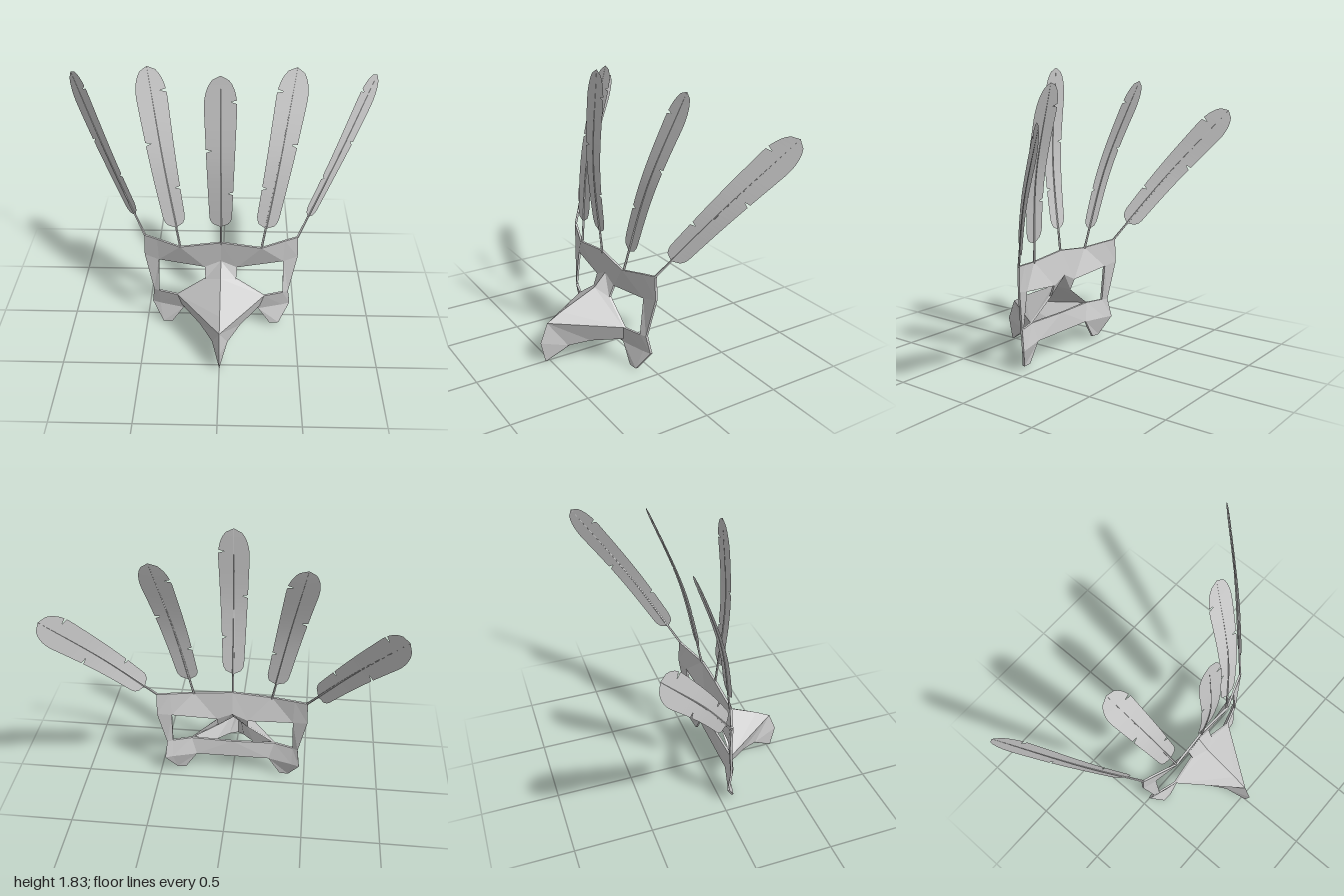
import * as THREE from 'three';

const material = new THREE.MeshStandardMaterial({ color: 0xcccccc, flatShading: true, side: THREE.DoubleSide });

function makeMesh(name, geometry) {
  const mesh = new THREE.Mesh(geometry, material);
  mesh.name = name;
  return mesh;
}

// Mirrors half a set of facets across x = 0 and gives them thickness along z
function mirroredShell(points, faces, depth) {
  const tris = [];
  for (const face of faces) {
    const p = face.split(' ').map((k) => points[k]);
    for (let i = 1; i < p.length - 1; i++) {
      const tri = [p[0], p[i], p[i + 1]];
      tris.push(tri, tri.map(([x, y, z]) => [x === 0 ? 0 : -x, y, z]).reverse());
    }
  }
  const edgeKey = (a, b) => a.join() + '|' + b.join();
  const edges = new Set();
  for (const t of tris) t.forEach((a, i) => edges.add(edgeKey(a, t[(i + 1) % 3])));

  const back = ([x, y, z]) => [x, y, z - depth];
  const out = [];
  for (const t of tris) {
    out.push(...t, ...t.map(back).reverse());
    // rim wall wherever an edge has no neighbour
    t.forEach((a, i) => {
      const b = t[(i + 1) % 3];
      if (!edges.has(edgeKey(b, a))) out.push(a, back(a), back(b), a, back(b), b);
    });
  }
  const geometry = new THREE.BufferGeometry();
  geometry.setAttribute('position', new THREE.Float32BufferAttribute(out.flat(), 3));
  geometry.computeVertexNormals();
  return geometry;
}

// Half width of a feather blade, s runs from its base to its tip
function bladeWidth(s) {
  const base = s < 0.08 ? Math.sqrt(1 - (1 - s / 0.08) ** 2) : 1;
  const tip = s > 0.82 ? Math.sqrt(Math.max(0, 1 - ((s - 0.82) / 0.18) ** 2)) : 1;
  return (0.067 + 0.034 * Math.min(s, 0.8)) * base * tip;
}

// Small cuts in the blade: position along it and side
const notches = [[0.26, -1], [0.55, 1], [0.85, -1]];

function feather(name, points, reference, bladeStart) {
  const curve = new THREE.CatmullRomCurve3(points.map((p) => new THREE.Vector3(...p)));
  const ref = new THREE.Vector3(...reference).normalize();
  const group = new THREE.Group();
  group.name = name;

  // blade: stations of left edge, spine and right edge
  const stations = [];
  for (let i = 0; i <= 40; i++) {
    const s = i / 40;
    if (!notches.some(([n]) => Math.abs(n - s) < 0.013)) stations.push({ s, cut: 0 });
  }
  for (const [n, side] of notches) {
    stations.push({ s: n - 0.012, cut: 0 }, { s: n, cut: side }, { s: n + 0.008, cut: 0 });
  }
  stations.sort((a, b) => a.s - b.s);

  const positions = [];
  const index = [];
  stations.forEach(({ s, cut }, i) => {
    const u = bladeStart + (1 - bladeStart) * s;
    const centre = curve.getPointAt(u);
    const tangent = curve.getTangentAt(u);
    const across = ref.clone().addScaledVector(tangent, -ref.dot(tangent)).normalize();
    for (const side of [-1, 0, 1]) {
      const width = bladeWidth(s) * (cut !== 0 && cut === side ? 0.6 : 1);
      positions.push(...centre.clone().addScaledVector(across, side * width).toArray());
    }
    if (i > 0) {
      for (const k of [0, 1]) {
        const a = (i - 1) * 3 + k;
        index.push(a, a + 1, a + 4, a, a + 4, a + 3);
      }
    }
  });
  const blade = new THREE.BufferGeometry();
  blade.setAttribute('position', new THREE.Float32BufferAttribute(positions, 3));
  blade.setIndex(index);
  blade.computeVertexNormals();
  group.add(makeMesh('featherBlade', blade));

  // quill: a thin tube tapering towards the tip
  const rings = 24, sides = 5;
  const quill = new THREE.TubeGeometry(curve, rings, 0.008, sides, false);
  const pos = quill.attributes.position;
  const v = new THREE.Vector3();
  for (let i = 0; i <= rings; i++) {
    const centre = curve.getPointAt(i / rings);
    for (let j = 0; j <= sides; j++) {
      const k = i * (sides + 1) + j;
      v.fromBufferAttribute(pos, k).sub(centre).multiplyScalar(1 - 0.95 * i / rings).add(centre);
      pos.setXYZ(k, v.x, v.y, v.z);
    }
  }
  quill.computeVertexNormals();
  group.add(makeMesh('featherQuill', quill));
  return group;
}

export function createModel() {
  const model = new THREE.Group();
  model.name = 'featheredBirdMask';

  // Brow, eye surrounds, cheek bar and lower tabs (left half)
  const frame = {
    a0: [0, 0.685, 0.11], a1: [0.26, 0.655, 0.12], a2: [0.41, 0.675, 0.065], a3: [0.495, 0.685, 0.035],
    b0: [0, 0.525, 0.085], b1: [0.105, 0.475, 0.085], b2: [0.405, 0.508, 0.055], b3: [0.5, 0.53, 0.03],
    c0: [0, 0.268, 0.11], c1: [0.285, 0.268, 0.12], c2: [0.41, 0.268, 0.08], c3: [0.447, 0.268, 0.06],
    d0: [0, 0.145, 0.1], d1: [0.25, 0.145, 0.1], d2: [0.41, 0.145, 0.055], d3: [0.462, 0.145, 0.035],
    e1: [0.33, 0.02, 0.1], e2: [0.39, 0.02, 0.095],
  };
  const frameFaces = [
    'a0 b0 b1 a1', 'a1 b1 b2 a2', 'a2 b2 b3 a3', // brow
    'b2 c2 c3 b3', // outer eye post
    'c0 d0 d1 c1', 'c1 d1 d2 c2', 'c2 d2 d3 c3', // cheek bar
    'd1 e1 e2 d2', 'd2 e2 d3', // tab
  ];
  model.add(makeMesh('maskFrame', mirroredShell(frame, frameFaces, 0.015)));

  // Hollow beak with its bridge between the eyes (left half)
  const beak = {
    n0: frame.b0, n1: frame.b1, n2: [0.1, 0.4, 0.115],
    r1: [0, 0.44, 0.165], r2: [0, 0.33, 0.41], r3: [0, 0.275, 0.51], r4: [0, 0.145, 0.56], r5: [0, 0.008, 0.53],
    s1: frame.c1, s2: [0.26, 0.172, 0.105], s3: [0.13, 0.145, 0.27], s4: [0.05, 0.105, 0.39],
  };
  const beakFaces = [
    'n0 r1 n2 n1', 'r1 r2 s1 n2', 'r2 r3 s1', // top
    'r3 r4 s4', 'r4 r5 s4', 'r3 s4 s3', 'r3 s3 s1', 's1 s3 s2', // side
  ];
  model.add(makeMesh('beak', mirroredShell(beak, beakFaces, 0.015)));

  // Fan of five feathers along the brow
  model.add(feather('centreFeather', [[0, 0.67, 0.105], [0, 1.27, 0.163], [0, 1.84, 0.135]], [-1, 0, 0], 0.125));
  for (const m of [1, -1]) {
    const side = m > 0 ? 'left' : 'right';
    model.add(feather(side + 'InnerFeather',
      [[0.26 * m, 0.65, 0.105], [0.355 * m, 1.2, 0.005], [0.45 * m, 1.757, -0.19]], [m, 0, 0], 0.115));
    model.add(feather(side + 'OuterFeather',
      [[0.49 * m, 0.68, 0.03], [0.745 * m, 1.125, -0.24], [0.992 * m, 1.56, -0.555]], [0.51 * m, 0, -0.59], 0.125));
  }
  return model;
}
